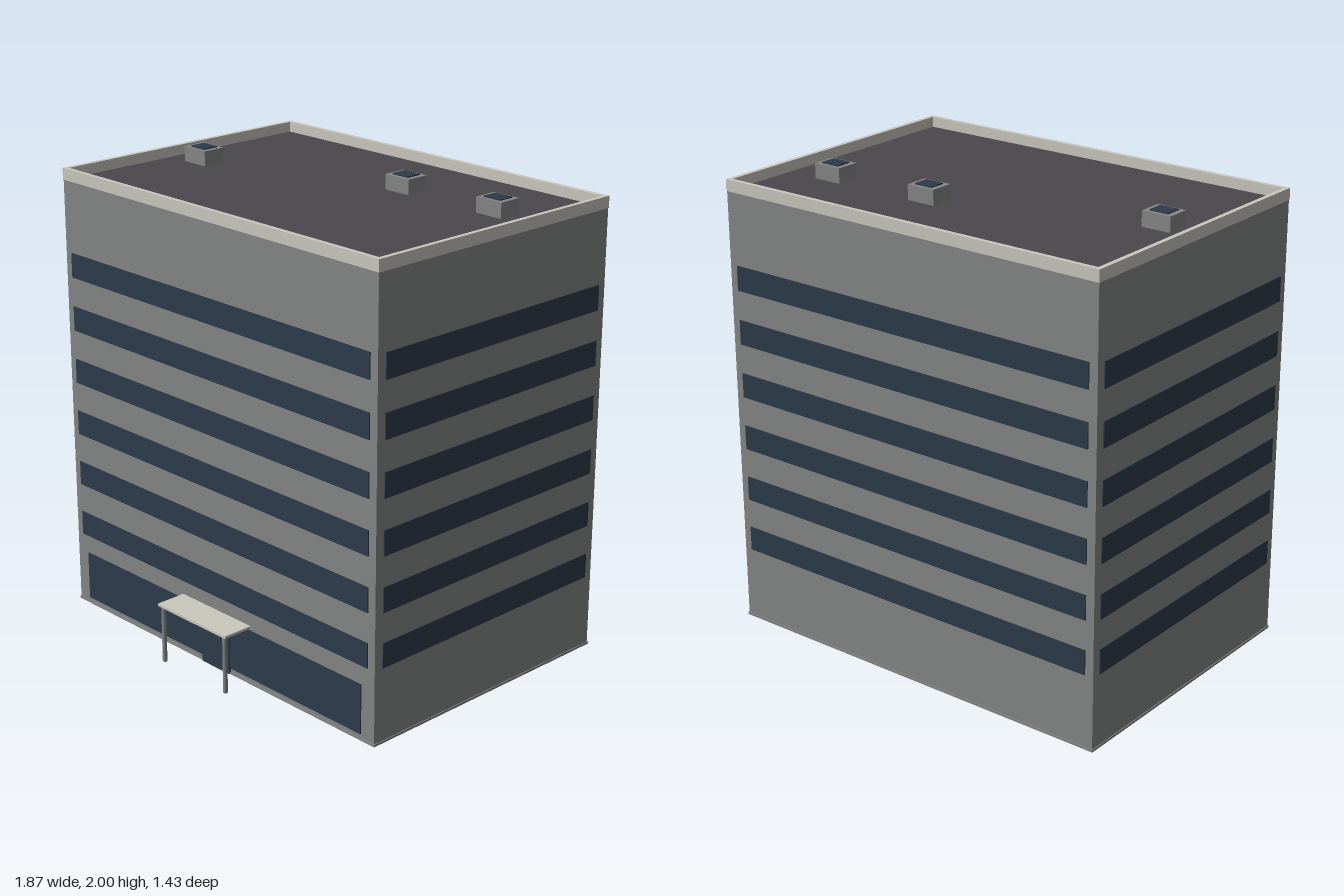
import * as THREE from 'three';

const material = (name, color) => {
  const m = new THREE.MeshStandardMaterial({ color });
  m.name = name;
  return m;
};

export function createModel() {
  const building = new THREE.Group();
  building.name = 'officeBuilding';

  const concrete = material('concrete grey', 0x848786);
  const glass = material('dark blue glass', 0x2d3b4b);
  const trim = material('pale stone trim', 0xcbc7bf);
  const roofing = material('dark roofing', 0x4a484c);

  // Box given by its min and max corners
  const box = (name, mat, x0, x1, y0, y1, z0, z1, parent = building) => {
    const mesh = new THREE.Mesh(new THREE.BoxGeometry(x1 - x0, y1 - y0, z1 - z0), mat);
    mesh.position.set((x0 + x1) / 2, (y0 + y1) / 2, (z0 + z1) / 2);
    mesh.name = name;
    parent.add(mesh);
    return mesh;
  };

  const W = 0.928, BACK = -0.711, FRONT = 0.578, ROOF = 1.925;
  const proud = 0.005;

  // Main block, base course and roof surface
  box('walls', concrete, -W, W, 0, ROOF, BACK, FRONT);
  box('baseCourse', concrete, -W - 0.004, W + 0.004, 0, 0.01, BACK - 0.004, FRONT + 0.004);
  box('roof', roofing, -W + 0.01, W - 0.01, ROOF - 0.005, ROOF + 0.005, BACK + 0.01, FRONT - 0.01);

  // Parapet: a rectangular ring extruded upward
  const rectangle = (Type, inset) => {
    const x = W + 0.002 - inset, z0 = BACK - 0.002 + inset, z1 = FRONT + 0.002 - inset;
    return new Type([
      new THREE.Vector2(-x, -z1), new THREE.Vector2(x, -z1),
      new THREE.Vector2(x, -z0), new THREE.Vector2(-x, -z0),
    ]);
  };
  const ring = rectangle(THREE.Shape, 0);
  ring.holes.push(rectangle(THREE.Path, 0.02));
  const parapet = new THREE.Mesh(
    new THREE.ExtrudeGeometry(ring, { depth: 0.05, bevelEnabled: false }).rotateX(-Math.PI / 2), trim);
  parapet.position.y = ROOF;
  parapet.name = 'parapet';
  building.add(parapet);

  // Ribbon windows on all four sides of six floors
  for (let floor = 0; floor < 6; floor++) {
    const y0 = 0.328 + floor * 0.236, y1 = y0 + 0.107;
    const row = new THREE.Group();
    row.name = `windowRow${floor + 1}`;
    building.add(row);
    box('frontWindow', glass, -0.89, 0.89, y0, y1, FRONT - 0.002, FRONT + proud, row);
    box('backWindow', glass, -0.89, 0.89, y0, y1, BACK - proud, BACK + 0.002, row);
    box('leftWindow', glass, W - 0.002, W + proud, y0, y1, -0.672, 0.538, row);
    box('rightWindow', glass, -W - proud, -W + 0.002, y0, y1, -0.672, 0.538, row);
  }

  // Ground floor glazing and door
  box('lobbyGlazing', glass, -0.858, 0.856, 0.028, 0.245, FRONT - 0.002, FRONT + proud);
  box('door', glass, -0.085, 0.085, 0, 0.2, FRONT, FRONT + 0.008);

  // Entrance canopy on two round posts
  box('canopy', trim, -0.212, 0.212, 0.254, 0.265, FRONT - 0.002, 0.717);
  for (const side of [-1, 1]) {
    const post = new THREE.Mesh(new THREE.CylinderGeometry(0.01, 0.01, 0.255, 10), concrete);
    post.position.set(side * 0.193, 0.1275, 0.702);
    post.name = side > 0 ? 'leftPost' : 'rightPost';
    building.add(post);
  }

  // Rooftop units with dark tops
  [[-0.743, -0.036], [0.192, -0.317], [0.692, -0.317]].forEach(([x, z], i) => {
    const unit = new THREE.Group();
    unit.name = `rooftopUnit${i + 1}`;
    building.add(unit);
    box('unitCasing', concrete, x - 0.066, x + 0.066, ROOF, 1.995, z - 0.053, z + 0.053, unit);
    box('unitTop', glass, x - 0.043, x + 0.043, 1.993, 2, z - 0.036, z + 0.036, unit);
  });

  return building;
}
